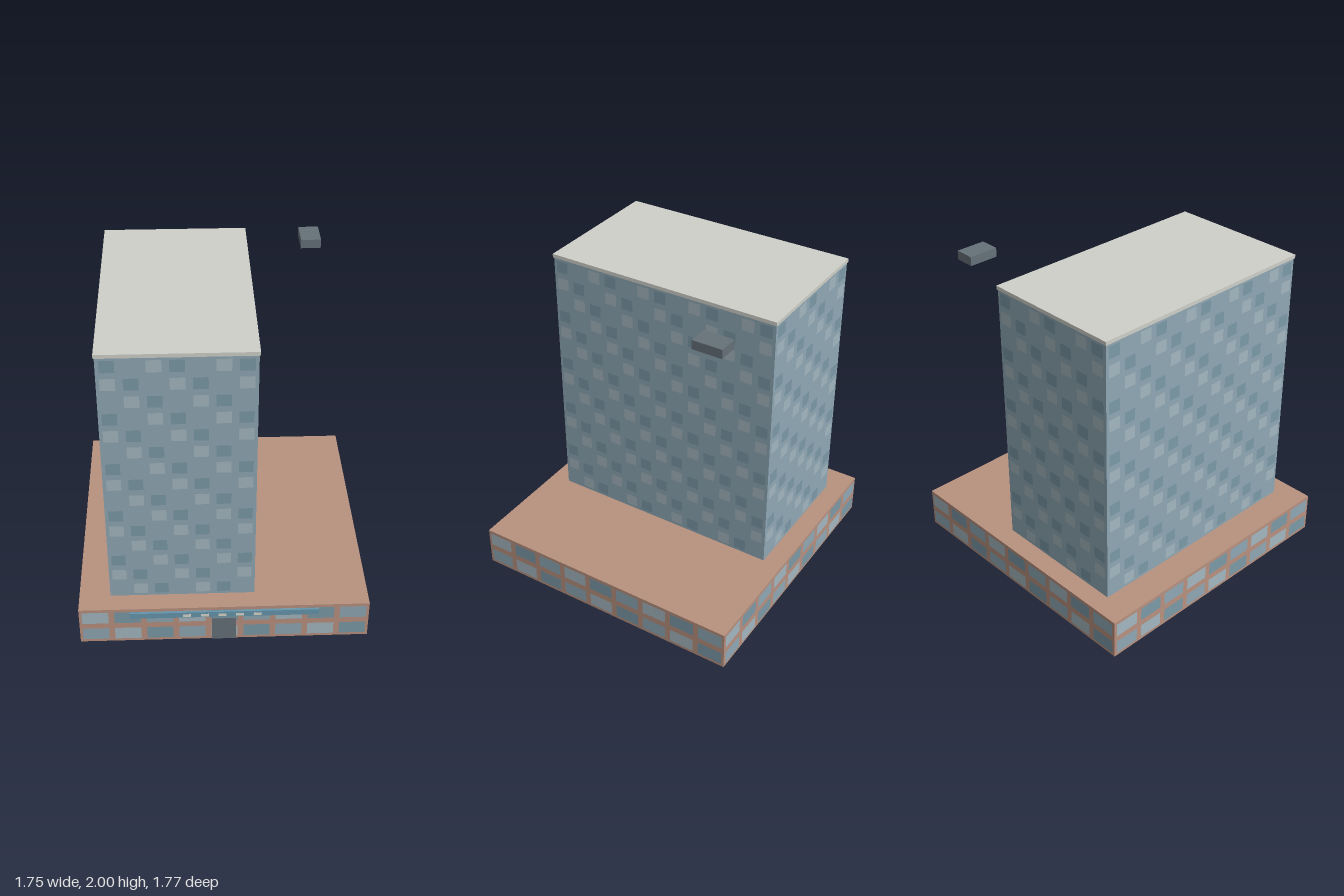
import * as THREE from 'three';
import { mergeGeometries } from 'three/addons/utils/BufferGeometryUtils.js';

const mat = (color) => new THREE.MeshStandardMaterial({ color, flatShading: true });
const brick = mat(0xb8917f), glass = mat(0x8fa8b5), lightGlass = mat(0xa4b7c0), darkGlass = mat(0x7b99a7);
const roofMat = mat(0xd0d0ca), metal = mat(0x667179), signMat = mat(0x6596ab), cream = mat(0xd9d8cb);

// Box given by its limits on each axis
function block(name, [x0, x1], [y0, y1], [z0, z1], material) {
  const mesh = new THREE.Mesh(new THREE.BoxGeometry(x1 - x0, y1 - y0, z1 - z0), material);
  mesh.position.set((x0 + x1) / 2, (y0 + y1) / 2, (z0 + z1) / 2);
  mesh.name = name;
  return mesh;
}

// Window panes on all four walls, tinted in a diagonal cycle of three
function windows(name, [x0, x1], [y0, y1], [z0, z1], { colsX, colsZ, rows, fillW, fillH, tints }) {
  const group = new THREE.Group();
  group.name = name;
  const panes = tints.map(() => []);
  const w = x1 - x0, d = z1 - z0, cellH = (y1 - y0) / rows;
  for (let side = 0; side < 4; side++) {
    const [width, out, cols] = side % 2 ? [d, w / 2, colsZ] : [w, d / 2, colsX];
    const cellW = width / cols;
    for (let r = 0; r < rows; r++) {
      for (let c = 0; c < cols; c++) {
        const tint = (c + r) % 3;
        if (!tints[tint]) continue;
        const pane = new THREE.PlaneGeometry(cellW * fillW, cellH * fillH);
        pane.translate((c + 0.5) * cellW - width / 2, y0 + (r + 0.5) * cellH, out + 0.002);
        pane.rotateY(side * Math.PI / 2);
        pane.translate((x0 + x1) / 2, 0, (z0 + z1) / 2);
        panes[tint].push(pane);
      }
    }
  }
  tints.forEach((tint, i) => {
    if (!tint) return;
    const mesh = new THREE.Mesh(mergeGeometries(panes[i]), tint);
    mesh.name = name + 'Panes';
    group.add(mesh);
  });
  return group;
}

export function createModel() {
  const model = new THREE.Group();
  model.name = 'towerBuilding';

  // Wide brick podium
  const podium = [[-0.875, 0.875], [0, 0.255], [-0.883, 0.865]];
  model.add(block('podium', ...podium, brick));
  model.add(windows('podiumWindows', ...podium, {
    colsX: 9, colsZ: 9, rows: 2, fillW: 0.82, fillH: 0.69, tints: [glass, lightGlass, darkGlass],
  }));

  // Glass tower, where the middle tint is the wall itself
  const tower = [[-0.687, 0.187], [0.255, 1.942], [-0.76, 0.741]];
  model.add(block('tower', ...tower, glass));
  model.add(windows('towerWindows', ...tower, {
    colsX: 7, colsZ: 13, rows: 15, fillW: 0.67, fillH: 0.67, tints: [null, lightGlass, darkGlass],
  }));
  model.add(block('roofSlab', [-0.693, 0.193], [1.94, 1.963], [-0.765, 0.746], roofMat));

  // Small unit floating beside the roof
  model.add(block('roofUnit', [0.52, 0.643], [1.944, 2], [-0.688, -0.502], metal));

  // Entrance and the band above it
  model.add(block('door', [-0.075, 0.07], [0, 0.168], [0.85, 0.87], metal));
  model.add(block('entranceBand', [-0.57, 0.568], [0.193, 0.232], [0.86, 0.881], signMat));
  for (let i = -2; i <= 2; i++) {
    const x = -0.013 + i * 0.106;
    model.add(block('bandTile', [x - 0.024, x + 0.024], [0.199, 0.219], [0.875, 0.883], cream));
  }
  return model;
}
